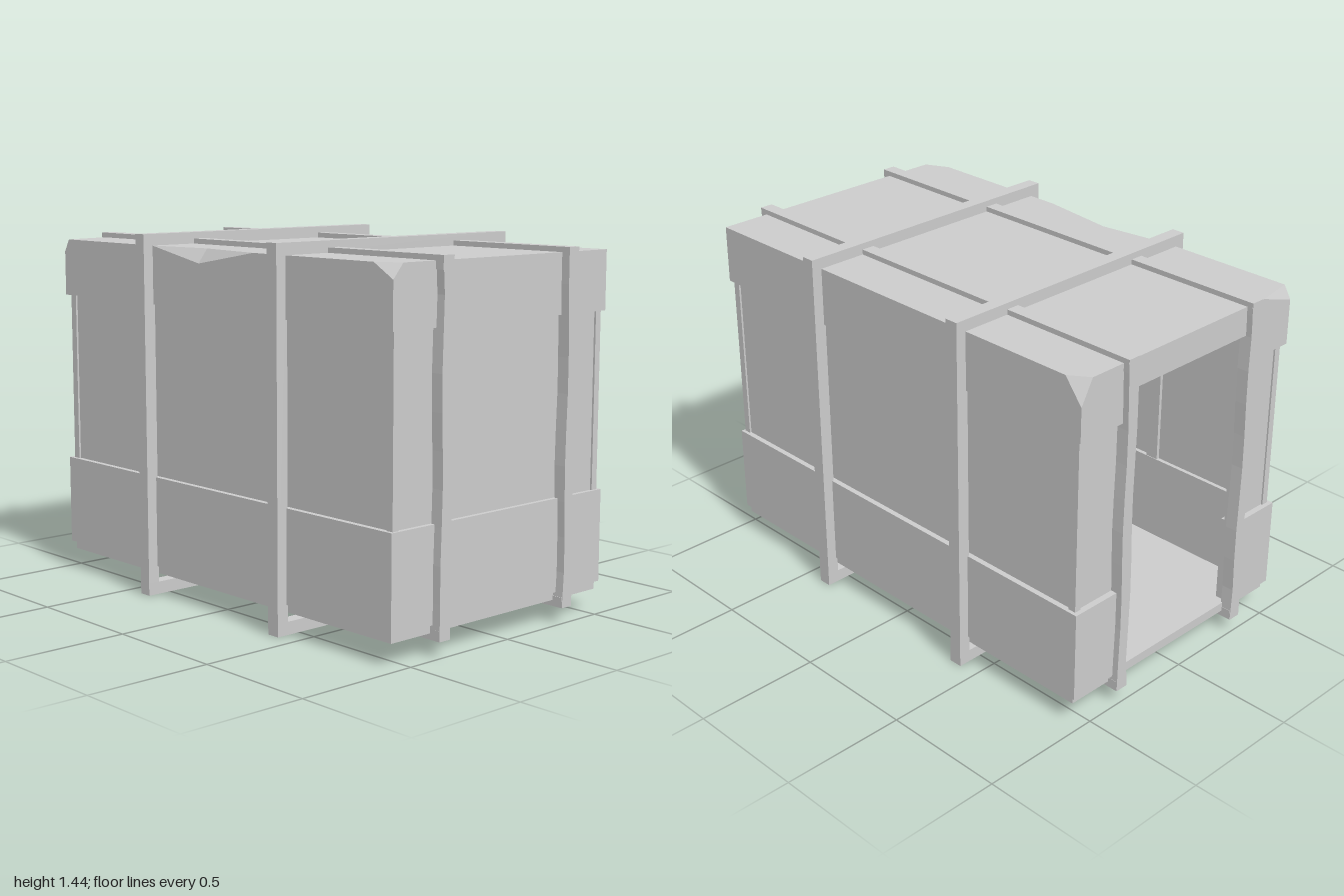
import * as THREE from 'three';
import { ConvexGeometry } from 'three/addons/geometries/ConvexGeometry.js';

export function createModel() {
  const root = new THREE.Group();
  root.name = 'strappedCabin';
  const grey = new THREE.MeshStandardMaterial({ color: 0xcccccc });
  grey.name = 'plainGrey';

  const add = (name, geometry) => {
    const mesh = new THREE.Mesh(geometry, grey);
    mesh.name = name;
    root.add(mesh);
    return mesh;
  };
  // Box given by its minimum and maximum on each axis
  const box = (name, x0, x1, y0, y1, z0, z1) => {
    const g = new THREE.BoxGeometry(x1 - x0, y1 - y0, z1 - z0);
    g.translate((x0 + x1) / 2, (y0 + y1) / 2, (z0 + z1) / 2);
    return add(name, g);
  };

  const X = 0.562, BACK = -0.975, FRONT = 0.965;
  const DOOR = 0.325;              // half width of the open doorway
  const CEIL = 1.28, TOP = 1.395;

  // Floor plate
  box('floor', -0.55, 0.55, 0.083, 0.12, -0.957, 0.953);

  // Lower and upper wall bands, left open at the back doorway
  for (const [name, y0, y1] of [['lowerBand', 0.115, 0.477], ['upperBand', 1.165, CEIL]]) {
    box(name + 'Front', -X, X, y0, y1, 0.9, FRONT);
    for (const s of [-1, 1]) {
      const xs = [s * 0.5, s * X].sort((a, b) => a - b);
      box(name + 'Side', xs[0], xs[1], y0, y1, BACK, 0.9);
      const xb = [s * DOOR, s * 0.5].sort((a, b) => a - b);
      box(name + 'Back', xb[0], xb[1], y0, y1, BACK, -0.91);
    }
  }

  // Recessed middle panels, corner posts and inner ribs
  const M0 = 0.47, M1 = 1.17;
  box('middlePanelFront', -0.52, 0.52, M0, M1, 0.922, 0.947);
  for (const s of [-1, 1]) {
    const span = (a, b) => (s > 0 ? [a, b] : [-b, -a]);
    box('middlePanelSide', ...span(0.517, 0.54), M0, M1, -0.93, 0.93);
    box('middlePanelBack', ...span(DOOR, 0.52), M0, M1, -0.95, -0.925);
    box('cornerPostFront', ...span(0.52, 0.548), M0, M1, 0.925, 0.955);
    box('cornerPostBack', ...span(0.52, 0.548), M0, M1, -0.957, -0.925);
    box('innerRibFront', ...span(0.305, 0.355), M0, M1, 0.905, 0.925);
    for (const z of [-0.4, 0.4]) box('innerRibSide', ...span(0.503, 0.52), M0, M1, z - 0.027, z + 0.027);
  }

  // Roof slab in two halves, meeting at the deepest point of the edge dent
  const DENT = -0.08;
  const dent = [[-0.52, TOP, DENT], [-X, 1.34, DENT]];
  const hull = (name, pts) => add(name, new ConvexGeometry(pts.map((p) => new THREE.Vector3(...p))));
  hull('roofBack', [
    [-X, CEIL, BACK], [X, CEIL, BACK], [-X, CEIL, DENT], [X, CEIL, DENT],
    [X, TOP, DENT], ...dent, [-X, TOP, -0.37],
    [X, TOP, -0.9], [0.51, TOP, BACK], [X, 1.3, BACK],           // chipped corner
    [-X, TOP, -0.945], [-0.4, TOP, BACK], [-X, 1.345, BACK],     // chipped corner
  ]);
  hull('roofFront', [
    [-X, CEIL, DENT], [X, CEIL, DENT], [-X, CEIL, FRONT], [X, CEIL, FRONT],
    [X, TOP, DENT], ...dent, [-X, TOP, 0.24], [X, TOP, FRONT],
    [-X, TOP, 0.87], [-0.515, TOP, FRONT], [-X, 1.34, FRONT],    // chipped corner
  ]);

  // Lengthwise frames, with slightly worn upright bars
  const wornBar = (name, x, z0, z1, seed) => {
    const g = new THREE.BoxGeometry(0.054, 1.355, z1 - z0, 1, 10, 1).toNonIndexed();
    const p = g.attributes.position;
    for (let i = 0; i < p.count; i++) {
      const y = p.getY(i);
      if (Math.abs(y) > 0.6) continue;
      const side = Math.sign(p.getX(i));
      const wear = 0.004 * (1 + Math.sin(y * 9 + seed + side * 2));
      p.setX(i, p.getX(i) - side * wear);
    }
    g.computeVertexNormals();
    g.translate(x, 0.7375, (z0 + z1) / 2);
    add(name, g);
  };
  for (const x of [-0.331, 0.331]) {
    const a = x - 0.027, b = x + 0.027;
    box('lengthBarTop', a, b, 1.365, 1.415, -0.998, 0.998);
    box('lengthBarBottom', a, b, 0.06, 0.1, -0.998, 0.998);
    wornBar('lengthBarFront', x, 0.95, 1, x * 5);
    wornBar('lengthBarBack', x, -1, -0.95, x * 5 + 1);
  }

  // Crosswise frames
  for (const z of [-0.395, 0.392]) {
    const a = z - 0.027, b = z + 0.027;
    box('crossBarTop', -0.605, 0.605, 1.39, 1.44, a, b);
    box('crossBarBottom', -0.605, 0.605, 0, 0.05, a, b);
    box('crossBarLeft', 0.555, 0.605, 0.05, 1.39, a, b);
    box('crossBarRight', -0.605, -0.555, 0.05, 1.39, a, b);
  }

  // Control stand against the inner wall: sloped top with two knobs
  const outline = new THREE.Shape([[0.42, 0.12], [0.505, 0.12], [0.505, 0.7], [0.4, 0.66]]
    .map(([x, y]) => new THREE.Vector2(x, y)));
  const stand = new THREE.ExtrudeGeometry(outline, { depth: 0.22, bevelEnabled: false });
  stand.translate(0, 0, -0.13);
  add('controlStand', stand);
  for (const z of [-0.07, 0.02]) {
    const knob = add('controlKnob', new THREE.CylinderGeometry(0.02, 0.02, 0.04, 10));
    knob.position.set(0.445, 0.695, z);
    knob.rotation.z = 0.36;
  }

  return root;
}
